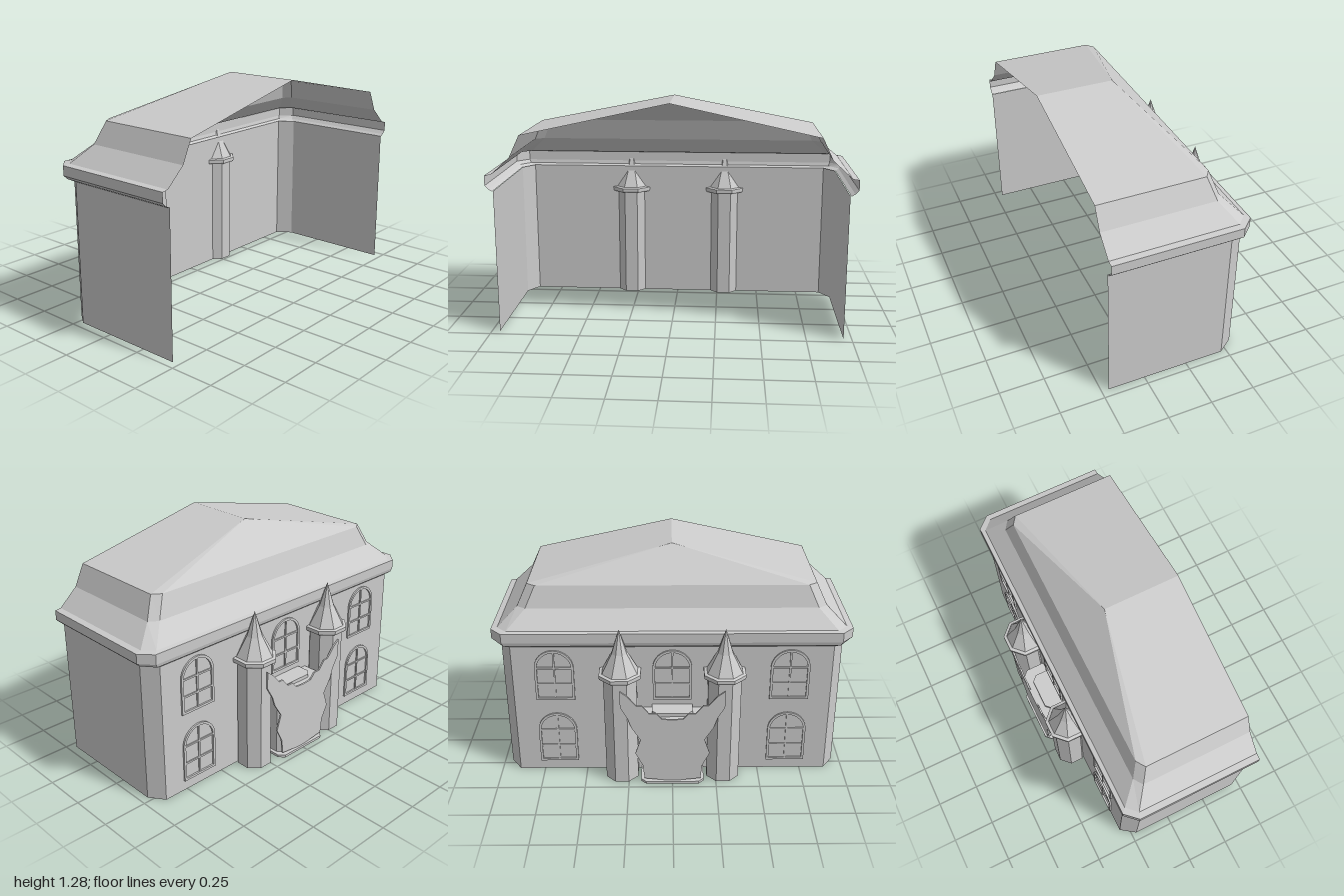
import * as THREE from 'three';

const material = new THREE.MeshStandardMaterial({ color: 0xcccccc, flatShading: true, side: THREE.DoubleSide });
const OPEN_X = 0.46; // cut-away end of the building
const WALL_X = -0.305; // facade plane

function add(parent, name, geometry, x = 0, y = 0, z = 0) {
  const mesh = new THREE.Mesh(geometry, material);
  mesh.name = name;
  mesh.position.set(x, y, z);
  parent.add(mesh);
  return mesh;
}

// Open U-shaped shell with chamfered corners.
// Each ring: [y, facade x, facade half width, chamfer end x, side z, open end z]
function shell(rings) {
  const loops = rings.map(([y, xf, zf, xc, zs]) => [
    [OPEN_X, zs], [xc, zs], [xf, zf], [xf, -zf], [xc, -zs], [OPEN_X, -zs],
  ].map(([x, z]) => new THREE.Vector3(x, y, z)));
  const points = [];
  const tri = (a, b, c) => {
    if (new THREE.Triangle(a, b, c).getArea() > 1e-7) points.push(a, b, c);
  };
  for (let r = 0; r < loops.length - 1; r++) {
    for (let i = 0; i < 5; i++) {
      const a = loops[r][i], b = loops[r][i + 1], c = loops[r + 1][i + 1], d = loops[r + 1][i];
      tri(a, c, b);
      tri(a, d, c);
    }
  }
  const geometry = new THREE.BufferGeometry().setFromPoints(points);
  geometry.computeVertexNormals();
  return geometry;
}

// Plate drawn in (z, y) and thickened towards -x
function facadePlate(shape, depth) {
  return new THREE.ExtrudeGeometry(shape, { depth, bevelEnabled: false, curveSegments: 10 }).rotateY(-Math.PI / 2);
}

// Slab standing on the facade, with chamfered outer corners
function chamferedSlab(x, w, c, height) {
  const shape = new THREE.Shape([
    [WALL_X, -w], [WALL_X, w], [x + c, w], [x, w - c], [x, c - w], [x + c, -w],
  ].map(p => new THREE.Vector2(...p)));
  return new THREE.ExtrudeGeometry(shape, { depth: height, bevelEnabled: false }).rotateX(-Math.PI / 2);
}

function archPath(path, r, bottom, spring) {
  path.moveTo(-r, bottom);
  path.lineTo(r, bottom);
  path.lineTo(r, spring);
  path.absarc(0, spring, r, 0, Math.PI, false);
  path.lineTo(-r, bottom);
  return path;
}

// Arched window: frame, mullion and glazing bars
function makeWindow(z, y, height) {
  const group = new THREE.Group();
  group.name = 'archedWindow';
  const r = 0.11, t = 0.014, spring = height - r;
  const frame = archPath(new THREE.Shape(), r, 0, spring);
  frame.holes.push(archPath(new THREE.Path(), r - t, t, spring));
  add(group, 'windowFrame', facadePlate(frame, 0.01));
  add(group, 'mullion', new THREE.BoxGeometry(0.007, height - t, 0.01), -0.0035, height / 2, 0);
  for (const f of [0.5, 1]) {
    add(group, 'glazingBar', new THREE.BoxGeometry(0.007, 0.01, 2 * (r - t)), -0.0035, spring * f, 0);
  }
  group.position.set(WALL_X, y, z);
  return group;
}

// Octagonal tower with a cap ring and a concave spire
function makeTower(z) {
  const group = new THREE.Group();
  group.name = 'tower';
  const lathe = profile => new THREE.LatheGeometry(
    profile.map(([r, y]) => new THREE.Vector2(r / Math.cos(Math.PI / 8), y)), 8, Math.PI / 8);
  add(group, 'towerShaft', lathe([[0.092, 0], [0.092, 0.65]]));
  add(group, 'towerCap', lathe([[0.092, 0.645], [0.112, 0.647], [0.115, 0.655], [0.115, 0.672], [0.098, 0.677]]));
  add(group, 'towerSpire', lathe([[0.098, 0.675], [0.042, 0.79], [0, 0.93]]));
  group.position.set(-0.354, 0, z);
  return group;
}

export function createModel() {
  const model = new THREE.Group();
  model.name = 'building';

  add(model, 'walls', shell([
    [0, WALL_X, 0.895, -0.22, 0.955],
    [0.805, WALL_X, 0.895, -0.22, 0.955],
  ]));
  add(model, 'cornice', shell([
    [0.803, -0.31, 0.9, -0.225, 0.96],
    [0.815, -0.325, 0.925, -0.255, 0.98],
    [0.835, -0.33, 0.935, -0.26, 1],
    [0.89, -0.33, 0.935, -0.26, 1],
    [0.895, -0.305, 0.91, -0.25, 0.965],
  ]));
  add(model, 'roof', shell([
    [0.895, -0.305, 0.91, -0.25, 0.965],
    [0.99, -0.21, 0.81, -0.175, 0.86],
    [1.11, -0.172, 0.755, -0.138, 0.803],
    [1.285, 0.025, 0, 0.025, 0],
  ]));

  // Facade windows in two storeys, and one above the porch
  for (const z of [-0.66, 0.66]) {
    model.add(makeWindow(z, 0.06, 0.32), makeWindow(z, 0.47, 0.31));
  }
  model.add(makeWindow(0, 0.47, 0.31));

  for (const z of [-0.29, 0.29]) model.add(makeTower(z));

  // Porch between the towers
  add(model, 'porchStep', chamferedSlab(-0.468, 0.18, 0.03, 0.015));
  add(model, 'porchBody', chamferedSlab(-0.435, 0.16, 0.03, 0.39));
  add(model, 'balconySlab', chamferedSlab(-0.445, 0.175, 0.03, 0.03), 0, 0.385, 0);
  add(model, 'balconyTop', chamferedSlab(-0.412, 0.115, 0.03, 0.02), 0, 0.415, 0);

  // Ragged banner slung between the towers (half outline, mirrored)
  const half = [[0, 0.42], [0.06, 0.425], [0.09, 0.46], [0.13, 0.46], [0.17, 0.51], [0.2, 0.51], [0.25, 0.57],
    [0.29, 0.6], [0.29, 0.5], [0.25, 0.43], [0.23, 0.37], [0.18, 0.29], [0.21, 0.2], [0.17, 0.12], [0.16, 0.03], [0, 0.012]];
  const outline = [...half, ...half.slice(1, -1).reverse().map(([z, y]) => [-z, y])];
  const banner = new THREE.Shape(outline.map(p => new THREE.Vector2(...p)));
  add(model, 'banner', facadePlate(banner, 0.01), -0.446, 0, 0);

  return model;
}
